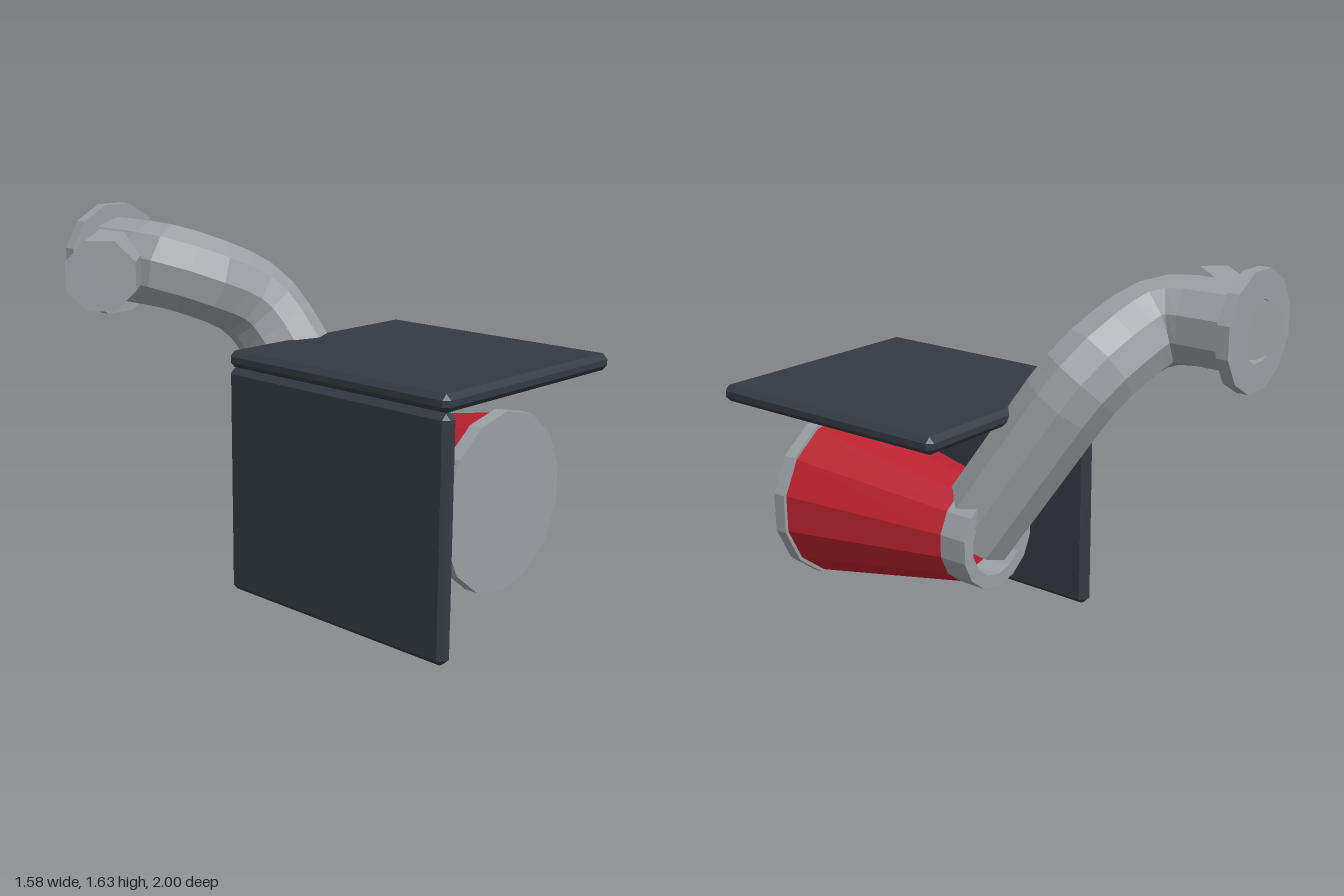
import * as THREE from 'three';
import { ConvexGeometry } from 'three/addons/geometries/ConvexGeometry.js';

const V = (x, y, z) => new THREE.Vector3(x, y, z);

function makeMaterial(name, color) {
  const material = new THREE.MeshStandardMaterial({ color });
  material.name = name;
  return material;
}

// Faceted look: every triangle gets its own normal
function faceted(geometry) {
  const flat = geometry.index ? geometry.toNonIndexed() : geometry;
  flat.computeVertexNormals();
  return flat;
}

// Box with all edges chamfered, given by its minimum and maximum corners
function chamferedBox(min, max, c) {
  const mid = min.clone().add(max).multiplyScalar(0.5);
  const h = max.clone().sub(min).multiplyScalar(0.5);
  const points = [];
  for (const sx of [-1, 1]) for (const sy of [-1, 1]) for (const sz of [-1, 1]) {
    points.push(V(sx * h.x, sy * (h.y - c), sz * (h.z - c)));
    points.push(V(sx * (h.x - c), sy * h.y, sz * (h.z - c)));
    points.push(V(sx * (h.x - c), sy * (h.y - c), sz * h.z));
  }
  return new ConvexGeometry(points).translate(mid.x, mid.y, mid.z);
}

// Cylinder or cone along z, from z0 to z1
function drum(r0, r1, z0, z1, sides) {
  return new THREE.CylinderGeometry(r1, r0, z1 - z0, sides)
    .rotateX(Math.PI / 2).translate(0, 0, (z0 + z1) / 2);
}

// Ring with a hole along z
function ring(inner, outer, z0, z1, sides, turn = 0) {
  const profile = [[inner, z0], [outer, z0], [outer, z1], [inner, z1], [inner, z0]];
  return new THREE.LatheGeometry(profile.map(p => new THREE.Vector2(...p)), sides)
    .rotateY(turn).rotateX(Math.PI / 2);
}

// Path through exact points, with averaged tangents at the bends
class BentPath extends THREE.Curve {
  constructor(points) {
    super();
    this.points = points;
  }
  getPointAt(u, target = V(0, 0, 0)) {
    return target.copy(this.points[Math.round(u * (this.points.length - 1))]);
  }
  getTangentAt(u, target = V(0, 0, 0)) {
    const p = this.points, last = p.length - 1, i = Math.round(u * last);
    target.set(0, 0, 0);
    if (i > 0) target.add(p[i].clone().sub(p[i - 1]).normalize());
    if (i < last) target.add(p[i + 1].clone().sub(p[i]).normalize());
    return target.normalize();
  }
}

// Rounds the inner corners of a polyline
function roundedPath(corners, reach, steps) {
  const points = [corners[0]];
  for (let i = 1; i < corners.length - 1; i++) {
    const c = corners[i];
    const toward = q => c.clone().add(q.clone().sub(c).setLength(reach));
    const bend = new THREE.QuadraticBezierCurve3(toward(corners[i - 1]), c, toward(corners[i + 1]));
    points.push(...bend.getPoints(steps));
  }
  points.push(corners[corners.length - 1]);
  return points;
}

export function createModel() {
  const model = new THREE.Group();
  model.name = 'model';
  const grey = makeMaterial('light grey metal', 0x9c9fa4);
  const red = makeMaterial('red paint', 0xbc2230);
  const dark = makeMaterial('dark slate', 0x343b43);

  function add(name, geometry, material, parent = model) {
    const mesh = new THREE.Mesh(faceted(geometry), material);
    mesh.name = name;
    parent.add(mesh);
    return mesh;
  }

  // Shield panels
  add('topPanel', chamferedBox(V(-0.295, 0.993, -0.18), V(0.785, 1.065, 1), 0.023), dark);
  add('sidePanel', chamferedBox(V(-0.295, 0, -0.18), V(-0.222, 0.99, 1), 0.023), dark);

  // Tapered drum with a front cap and an open rear collar
  const body = new THREE.Group();
  body.name = 'drum';
  body.position.set(0.297, 0.49, 0);
  model.add(body);
  add('drumCone', drum(0.222, 0.37, 0.02, 0.78, 14), red, body);
  add('frontCap', drum(0.385, 0.385, 0.78, 0.84, 14), grey, body);
  add('rearCollar', ring(0.165, 0.222, -0.11, 0.02, 14), grey, body);

  // Bent pipe from the flange down into the drum
  const corners = [V(-0.295, 1.385, -0.905), V(-0.295, 1.385, -0.5), V(0.1, 1.22, -0.415), V(0.3, 0.49, 0.025)];
  const points = roundedPath(corners, 0.165, 3);
  const pipeRadius = 0.188;
  add('pipe', new THREE.TubeGeometry(new BentPath(points), points.length - 1, pipeRadius, 10), grey);

  // Flat ends of the pipe
  for (const [name, end, inside] of [['pipeTopEnd', 0, 1], ['pipeBottomEnd', 3, 2]]) {
    const cap = add(name, new THREE.CircleGeometry(pipeRadius, 10, Math.PI / 2), grey);
    cap.position.copy(corners[end]);
    cap.lookAt(corners[end].clone().multiplyScalar(2).sub(corners[inside]));
  }

  // Mounting flange
  const flange = add('flange', ring(0.13, 0.253, -0.955, -0.9, 12, Math.PI / 12), grey);
  flange.position.set(-0.295, 1.385, 0);

  // Diagonal side stub
  const stub = new THREE.CylinderGeometry(0.157, 0.157, 0.55, 8)
    .rotateY(Math.PI / 8).rotateX(Math.PI / 2).rotateY(-Math.PI / 4);
  add('sideStub', stub, grey).position.set(-0.495, 1.385, -0.705);

  return model;
}
